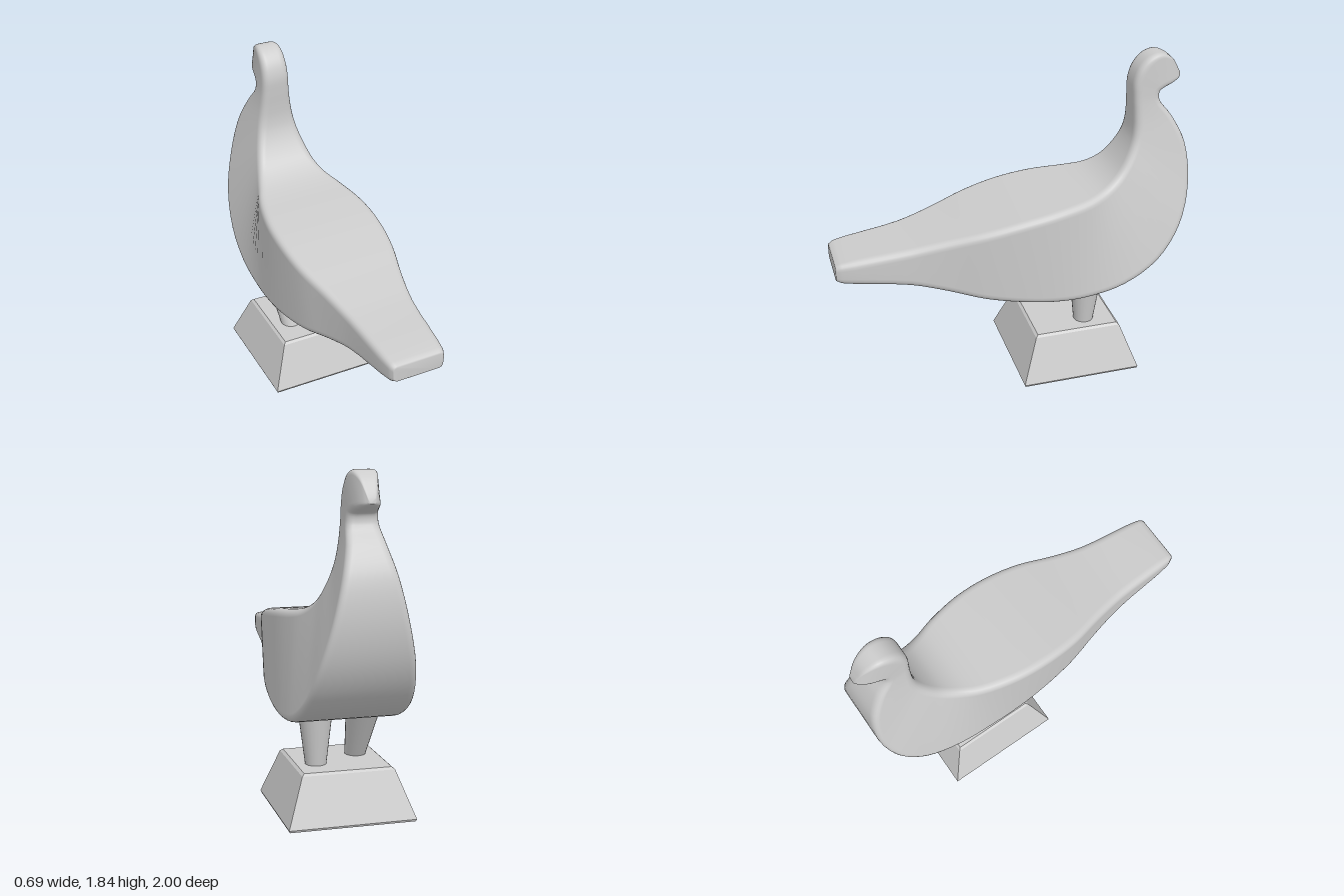
import * as THREE from 'three';

const V = (x, y, z) => new THREE.Vector3(x, y, z);

// Stations from tail to beak: [half width, y, z] of the upper edge, then of the lower edge
const stations = [
  [0.145, 0.855, 1.0, 0.14, 0.768, 1.0],
  [0.16, 0.872, 0.965, 0.155, 0.752, 0.965],
  [0.195, 0.92, 0.6, 0.19, 0.695, 0.6],
  [0.235, 0.963, 0.4, 0.225, 0.642, 0.4],
  [0.287, 1.012, 0.2, 0.27, 0.583, 0.2],
  [0.308, 1.055, 0, 0.295, 0.538, -0.02],
  [0.3, 1.085, -0.2, 0.302, 0.513, -0.2],
  [0.255, 1.11, -0.4, 0.302, 0.512, -0.38],
  [0.21, 1.14, -0.5, 0.302, 0.56, -0.6],
  [0.172, 1.195, -0.58, 0.288, 0.68, -0.8],
  [0.143, 1.275, -0.64, 0.255, 0.87, -0.935],
  [0.118, 1.36, -0.678, 0.2, 1.1, -0.995],
  [0.103, 1.43, -0.69, 0.145, 1.33, -0.98],
  [0.092, 1.51, -0.69, 0.105, 1.48, -0.91],
  [0.084, 1.6, -0.685, 0.085, 1.575, -0.84],
  [0.08, 1.69, -0.685, 0.08, 1.625, -0.84],
  [0.078, 1.77, -0.712, 0.076, 1.643, -0.868],
  [0.075, 1.825, -0.765, 0.066, 1.655, -0.905],
  [0.066, 1.842, -0.83, 0.052, 1.667, -0.935],
  [0.046, 1.805, -0.905, 0.036, 1.676, -0.955],
  [0.022, 1.715, -0.962, 0.018, 1.685, -0.968],
];

// Rounded four-sided ring, counter-clockwise when seen from the tail
function ring(top, bottom) {
  const corners = [
    V(bottom.x, bottom.y, bottom.z), V(top.x, top.y, top.z),
    V(-top.x, top.y, top.z), V(-bottom.x, bottom.y, bottom.z),
  ];
  const height = corners[0].distanceTo(corners[1]);
  const r = Math.min(0.045, 0.3 * Math.min(height, 2 * top.x, 2 * bottom.x));
  const points = [];
  corners.forEach((p, i) => {
    const toward = (q) => p.clone().add(q.clone().sub(p).setLength(r));
    const bend = new THREE.QuadraticBezierCurve3(
      toward(corners[(i + 3) % 4]), p, toward(corners[(i + 1) % 4]));
    points.push(...bend.getPoints(5));
  });
  return points;
}

function loftBody() {
  const upper = new THREE.CatmullRomCurve3(stations.map((s) => V(s[0], s[1], s[2])));
  const lower = new THREE.CatmullRomCurve3(stations.map((s) => V(s[3], s[4], s[5])));
  const steps = (stations.length - 1) * 4;
  const positions = [], index = [];
  let n = 0;
  for (let i = 0; i <= steps; i++) {
    const points = ring(upper.getPoint(i / steps), lower.getPoint(i / steps));
    n = points.length;
    points.forEach((p) => positions.push(p.x, p.y, p.z));
  }
  for (let i = 0; i < steps; i++) {
    for (let j = 0; j < n; j++) {
      const a = i * n + j, b = i * n + (j + 1) % n;
      index.push(a, a + n, b, b, a + n, b + n);
    }
  }
  // Closed ends at tail and beak
  const last = steps * n;
  for (let j = 1; j < n - 1; j++) {
    index.push(0, j, j + 1, last, last + j + 1, last + j);
  }
  const geometry = new THREE.BufferGeometry();
  geometry.setAttribute('position', new THREE.Float32BufferAttribute(positions, 3));
  geometry.setIndex(index);
  geometry.computeVertexNormals();
  return geometry;
}

export function createModel() {
  const group = new THREE.Group();
  const smooth = new THREE.MeshStandardMaterial({ color: 0xcccccc });
  const flat = new THREE.MeshStandardMaterial({ color: 0xcccccc, flatShading: true });

  const add = (name, geometry, material) => {
    const mesh = new THREE.Mesh(geometry, material);
    mesh.name = name;
    group.add(mesh);
    return mesh;
  };

  // Bird body with tail, neck, head and beak
  add('body', loftBody(), smooth).position.x = 0.005;

  // Tapered legs: one upright, one leaning
  const addLeg = (name, foot, hip) => {
    const axis = hip.clone().sub(foot);
    const leg = add(name, new THREE.CylinderGeometry(0.093, 0.054, axis.length(), 24), smooth);
    leg.position.copy(foot).add(hip).multiplyScalar(0.5);
    leg.quaternion.setFromUnitVectors(V(0, 1, 0), axis.normalize());
  };
  addLeg('leftLeg', V(0.132, 0.25, -0.415), V(0.136, 0.57, -0.42));
  addLeg('rightLeg', V(-0.125, 0.25, -0.27), V(-0.13, 0.57, -0.415));

  // Square pedestal with small bevels
  const profile = [[0, 0], [0.34, 0], [0.345, 0.012], [0.252, 0.264], [0.238, 0.276], [0, 0.276]]
    .map(([r, y]) => new THREE.Vector2(r * Math.SQRT2, y));
  add('pedestal', new THREE.LatheGeometry(profile, 4, Math.PI / 4), flat).position.z = -0.345;

  return group;
}
